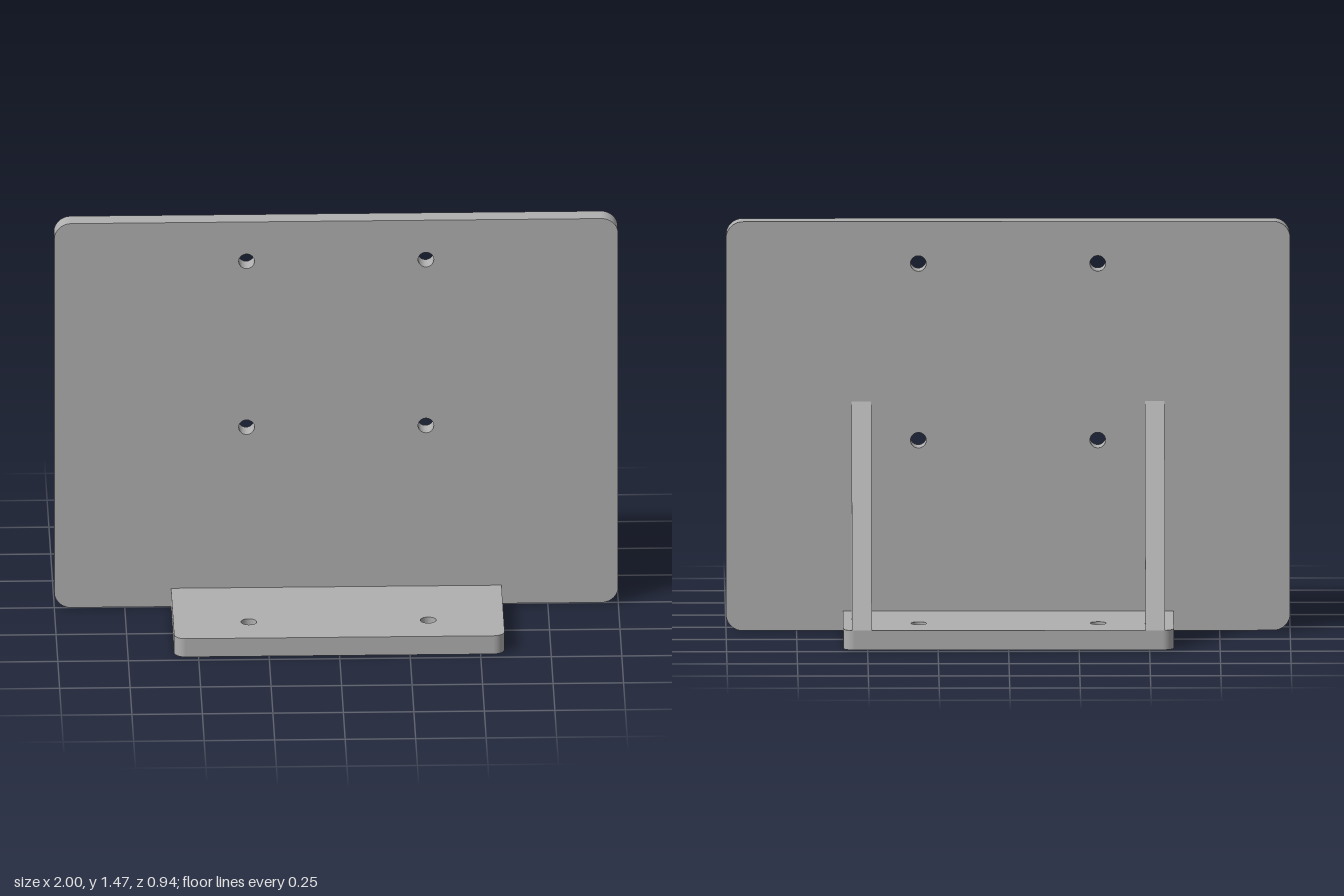
import * as THREE from 'three';

const T = 0.07; // thickness of every plate

// Rounded rectangle centred on the origin, with round holes, extruded along +z
function platedShape(w, h, r, holes, holeRadius) {
  const x = w / 2, y = h / 2;
  const s = new THREE.Shape();
  s.absarc(x - r, y - r, r, 0, Math.PI / 2);
  s.absarc(-x + r, y - r, r, Math.PI / 2, Math.PI);
  s.absarc(-x + r, -y + r, r, Math.PI, Math.PI * 1.5);
  s.absarc(x - r, -y + r, r, Math.PI * 1.5, Math.PI * 2);
  s.closePath();
  for (const [hx, hy] of holes) {
    s.holes.push(new THREE.Path().absarc(hx, hy, holeRadius, 0, Math.PI * 2, true));
  }
  return new THREE.ExtrudeGeometry(s, { depth: T, bevelEnabled: false, curveSegments: 16 });
}

// Four holes in a square pattern around height cy
const holePattern = (cy) =>
  [-1, 1].flatMap((i) => [-1, 1].map((j) => [i * 0.318, cy + j * 0.318]));

export function createModel() {
  const group = new THREE.Group();
  const grey = new THREE.MeshStandardMaterial({ color: 0xb0b0b0 });
  grey.name = 'grey';

  const add = (name, geometry) => {
    const mesh = new THREE.Mesh(geometry, grey);
    mesh.name = name;
    group.add(mesh);
    return mesh;
  };

  // Upright mounting plate
  const H = 1.472;
  add('uprightPlate', platedShape(2, H, 0.06, holePattern(1.003 - H / 2), 0.028))
    .position.set(0, H / 2, -T);

  // Horizontal base plate
  add('basePlate', platedShape(1.172, 0.94, 0.04, holePattern(0), 0.028).rotateX(-Math.PI / 2));

  // Triangular gussets behind the upright plate
  const triangle = new THREE.Shape([
    new THREE.Vector2(T, T),
    new THREE.Vector2(0.47, T),
    new THREE.Vector2(T, 0.825),
  ]);
  for (const side of [-1, 1]) {
    const gusset = new THREE.ExtrudeGeometry(triangle, { depth: T, bevelEnabled: false });
    gusset.translate(0, 0, -T / 2).rotateY(Math.PI / 2);
    add(side > 0 ? 'leftGusset' : 'rightGusset', gusset).position.x = side * 0.52;
  }
  return group;
}
